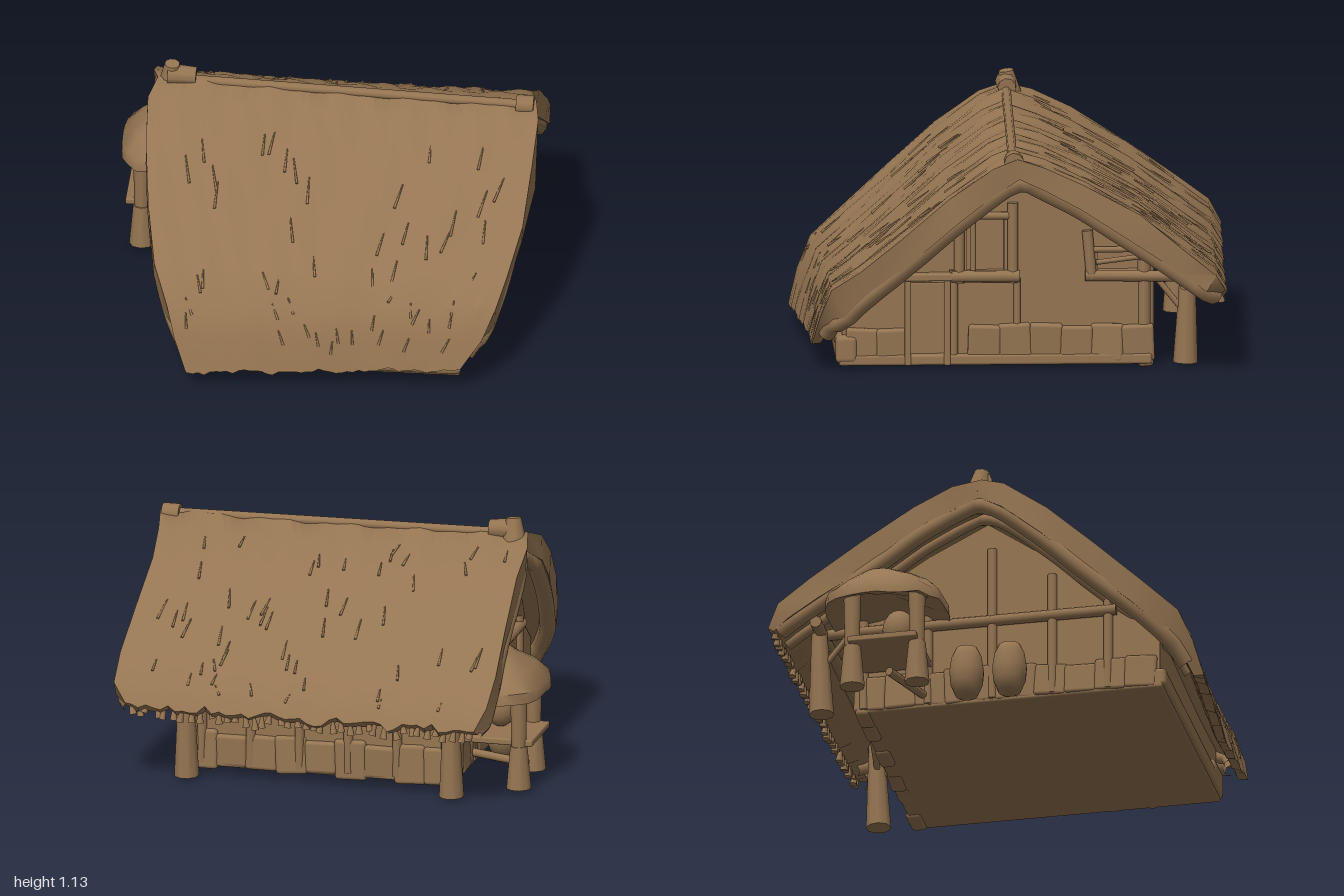
import * as THREE from 'three';
import { toCreasedNormals } from 'three/addons/utils/BufferGeometryUtils.js';
import { RoundedBoxGeometry } from 'three/addons/geometries/RoundedBoxGeometry.js';

const clay = new THREE.MeshStandardMaterial({ color: 0x957552 });
clay.name = 'thatch brown';
const V = (x, y, z) => new THREE.Vector3(x, y, z);

let seed = 11;
const rnd = () => (seed = (seed * 16807) % 2147483647) / 2147483647;
const vary = (a) => (rnd() - 0.5) * 2 * a;
const lerp = THREE.MathUtils.lerp;

// Roof cross-section from front eave to back eave: z, y, left edge x, right edge x
const SECTION = [
  [1.0, 0.08, -0.55, 0.7], [0.96, 0.22, -0.6, 0.79], [0.9, 0.37, -0.66, 0.84], [0.75, 0.5, -0.72, 0.89],
  [0.54, 0.67, -0.77, 0.94], [0.32, 0.86, -0.8, 0.975], [0.12, 1.0, -0.81, 0.975], [0.01, 1.045, -0.77, 0.96],
  [-0.12, 1.0, -0.8, 0.94], [-0.3, 0.91, -0.81, 0.92], [-0.55, 0.765, -0.81, 0.92],
  [-0.78, 0.6, -0.83, 0.94], [-0.93, 0.49, -0.83, 0.94], [-0.985, 0.4, -0.79, 0.88],
];
const UNDER = [
  [0.95, 0.09], [0.9, 0.19], [0.83, 0.28], [0.69, 0.4], [0.49, 0.56], [0.29, 0.74], [0.11, 0.88], [0.0, 0.95],
  [-0.12, 0.89], [-0.28, 0.8], [-0.52, 0.64], [-0.74, 0.5], [-0.88, 0.41], [-0.955, 0.375],
];

// A point on the roof; t runs along x, k is the (fractional) section index
function roofPoint(t, k, under = false) {
  const i = Math.min(Math.floor(k), SECTION.length - 2), f = k - i;
  const [z, y, l, r] = SECTION[i].map((v, j) => lerp(v, SECTION[i + 1][j], f));
  const x = lerp(l, r, t);
  let pz = z, py = y;
  if (under) [pz, py] = UNDER[i].map((v, j) => lerp(v, UNDER[i + 1][j], f));
  const sag = 0.018 * (1 - 2 * t) * Math.max(0, py) - 0.012 * Math.sin(Math.PI * t);
  let pull = 1;
  if (pz > 0.4) pull -= 0.06 * Math.min(1, t * 1.6) * (pz - 0.4) / 0.6;
  if (pz < -0.6) pull -= 0.04 * t * (-pz - 0.6) / 0.4;
  const bump = under ? 0 : 0.006 * Math.sin(x * 19 + z * 7) + 0.004 * Math.sin(x * 41 - z * 13);
  return V(x, py + sag + bump + (pz > 0.85 ? 0.045 * t : 0), pz * pull);
}

// Closed thatch shell lofted through rings across the roof
function roofGeometry() {
  const N = 48, n = SECTION.length, M = 2 * n, pos = [], idx = [];
  for (let i = 0; i <= N; i++) {
    const front = vary(0.007), back = vary(0.018);
    for (let j = 0; j < M; j++) {
      const p = roofPoint(i / N, j < n ? j : M - 1 - j, j >= n);
      if (j === 0 || j === M - 1) p.y += front;
      if (j === n - 1 || j === n) { p.y += back; p.z += back * 0.4; }
      if (i === 0 || i === N) p.x += vary(0.012);
      pos.push(p.x, p.y, p.z);
    }
  }
  for (let i = 0; i < N; i++) for (let j = 0; j < M; j++) {
    const a = i * M + j, b = i * M + (j + 1) % M, c = a + M, d = b + M;
    idx.push(a, c, b, b, c, d);
  }
  for (let j = 0; j < n - 1; j++) {
    const a = j, b = j + 1, c = M - 1 - j, d = M - 2 - j, e = N * M;
    idx.push(a, b, c, b, d, c, e + a, e + c, e + b, e + b, e + c, e + d);
  }
  const g = new THREE.BufferGeometry();
  g.setAttribute('position', new THREE.Float32BufferAttribute(pos, 3));
  g.setIndex(idx);
  return toCreasedNormals(g, 0.7);
}

// Lean-to thatch: a lathe whose round plan is pushed out towards a rounded square
function leanToGeometry() {
  const g = new THREE.LatheGeometry([[0, 0.55], [0.22, 0.455], [0.265, 0.44], [0.262, 0.49], [0.2, 0.56],
    [0.1, 0.63], [0, 0.68]].map((p) => new THREE.Vector2(...p)), 28);
  const p = g.attributes.position;
  for (let i = 0; i < p.count; i++) {
    const x = p.getX(i), z = p.getZ(i), r = Math.hypot(x, z);
    const k = r > 0 ? r / (Math.abs(x) ** 3 + Math.abs(z) ** 3) ** (1 / 3) : 1;
    p.setXYZ(i, x * k * 0.98, p.getY(i) + 0.008 * Math.sin(x * 40 + z * 23), z * k * 1.04);
  }
  return toCreasedNormals(g, 0.8);
}

export function createModel() {
  const model = new THREE.Group();
  model.name = 'thatchedHut';
  const add = (name, geo, x = 0, y = 0, z = 0) => {
    const m = new THREE.Mesh(geo, clay);
    m.name = name;
    m.position.set(x, y, z);
    model.add(m);
    return m;
  };
  const box = (name, w, h, d, x, y, z) =>
    add(name, new RoundedBoxGeometry(w, h, d, 2, Math.min(w, h, d) * 0.25), x, y, z);
  // Tapered log between two points
  const log = (name, a, b, r0, r1 = r0) => {
    const d = b.clone().sub(a);
    const m = add(name, new THREE.CylinderGeometry(r1, r0, d.length(), 9, 1));
    m.position.copy(a).add(b).multiplyScalar(0.5);
    m.quaternion.setFromUnitVectors(V(0, 1, 0), d.normalize());
    return m;
  };
  const tube = (name, pts, r) => add(name, new THREE.TubeGeometry(new THREE.CatmullRomCurve3(pts), 40, r, 8));

  // Roof with rolled gable rims and rafters below
  add('thatchRoof', roofGeometry());
  for (const [t, r] of [[0.02, 0.04], [0.97, 0.045], [0.9, 0.028], [0.1, 0.028]]) {
    const pts = [];
    for (let k = 0.6; k < 12.6; k += 0.6) pts.push(roofPoint(t, k, true).add(V(0, -0.01, 0)));
    tube(r > 0.03 ? 'gableRim' : 'rafter', pts, r);
  }

  // Ridge pole and the tied bundles at its ends
  log('ridgePole', V(-0.74, 1.05, 0), V(0.95, 1.012, 0.03), 0.022);
  log('ridgeBundle', V(-0.73, 1.07, 0), V(-0.6, 1.065, 0.0), 0.05, 0.042);
  log('ridgeBundle', V(-0.72, 1.0, -0.02), V(-0.71, 1.125, 0.0), 0.06, 0.035);
  log('ridgeBundle', V(0.87, 1.01, 0.025), V(0.95, 1.01, 0.025), 0.045);

  // Loose straw lying on the slopes
  for (let i = 0; i < 100; i++) {
    const k = i % 2 ? 1 + rnd() * 4.5 : 8 + rnd() * 4, t = 0.04 + rnd() * 0.92;
    const a = roofPoint(t, k), b = roofPoint(t + vary(0.015), k + (i % 2 ? -0.45 : 0.4));
    log('strawTuft', a, b.add(V(0, 0.003, 0)), 0.003, 0.006);
  }
  // Short ragged wisps along the back eave
  for (let i = 0; i < 40; i++) {
    const a = roofPoint(0.02 + i * 0.0245, 12.7).add(V(0, -0.01, 0.02));
    log('eaveWisp', a, a.clone().add(V(vary(0.02), -0.055 - rnd() * 0.03, -0.012)), 0.003, 0.018);
  }

  // House body, with a thinner gable wall holding the windows
  const outline = () => new THREE.Shape([[0.8, 0.03], [0.8, 0.3], [0.5, 0.545], [0.29, 0.72], [0, 0.92],
    [-0.28, 0.78], [-0.6, 0.58], [-0.6, 0.03]].map(([z, y]) => new THREE.Vector2(z, y)));
  const gable = (name, shape, x0, x1) => {
    const g = new THREE.ExtrudeGeometry(shape, { depth: x1 - x0, bevelEnabled: false });
    g.rotateY(-Math.PI / 2).translate(x1, 0, 0);
    add(name, g);
  };
  gable('houseBody', outline(), -0.58, 0.6);
  const wall = outline();
  for (const [z0, z1, y0, y1] of [[0.06, 0.23, 0.45, 0.7], [-0.58, -0.37, 0.45, 0.54], [0.33, 0.49, 0.04, 0.4]])
    wall.holes.push(new THREE.Path([[z0, y0], [z0, y1], [z1, y1], [z1, y0]].map((p) => new THREE.Vector2(...p))));
  gable('gableWall', wall, 0.6, 0.65);

  // Floor slab and plinth of rough stones
  box('floorSlab', 1.28, 0.05, 1.43, 0.045, 0.045, 0.1);
  box('frontSill', 1.28, 0.09, 0.1, 0.045, 0.075, 0.78);
  const stone = (x, y, z, w, h, d) => {
    const m = box('plinthStone', w, h, d, x, y, z);
    m.rotation.set(vary(0.06), vary(0.06), vary(0.06));
  };
  for (let i = 0; i < 9; i++) stone(-0.52 + i * 0.14, 0.1, -0.585, 0.15, 0.14 + rnd() * 0.06, 0.07);
  for (let i = 0; i < 10; i++) {
    const z = -0.55 + i * 0.14, h = 0.13 + rnd() * 0.06;
    if (i < 6 || i > 7) stone(0.65, 0.03 + h / 2, z, 0.06, h, 0.15);
    stone(-0.57, 0.03 + h / 2, z, 0.06, h, 0.15);
  }
  box('frontCornerStone', 0.2, 0.13, 0.1, 0.59, 0.095, 0.78);

  // Door, window frames and timbers on the entrance gable
  box('door', 0.03, 0.37, 0.16, 0.63, 0.215, 0.41);
  for (const z of [0.32, 0.5]) box('doorPost', 0.06, 0.4, 0.03, 0.66, 0.22, z);
  box('doorLintel', 0.07, 0.035, 0.3, 0.66, 0.43, 0.42);
  for (const z of [0.265, 0.02]) log('windowPost', V(0.66, 0.4, z), V(0.66, 0.77, z), 0.025);
  log('windowSill', V(0.67, 0.43, -0.01), V(0.67, 0.43, 0.3), 0.028);
  log('windowHead', V(0.66, 0.71, 0.02), V(0.66, 0.71, 0.26), 0.018);
  log('windowBar', V(0.64, 0.44, 0.2), V(0.64, 0.7, 0.2), 0.012);
  log('doorSidePost', V(0.66, 0.03, 0.29), V(0.66, 0.46, 0.29), 0.02);
  log('wallTimber', V(0.655, 0.2, 0.0), V(0.655, 0.42, 0.0), 0.016);
  log('smallWindowSill', V(0.66, 0.43, -0.31), V(0.65, 0.42, -0.82), 0.026);
  log('smallWindowPost', V(0.66, 0.42, -0.34), V(0.66, 0.64, -0.32), 0.025);
  log('smallWindowHead', V(0.66, 0.55, -0.34), V(0.66, 0.55, -0.6), 0.014);
  log('smallWindowBar', V(0.66, 0.49, -0.36), V(0.66, 0.52, -0.6), 0.012);
  log('cornerPost', V(0.64, 0.03, -0.58), V(0.64, 0.5, -0.58), 0.03);

  // Timbers on the back wall and the far gable
  for (let i = 0; i < 6; i++) {
    const x = -0.55 + i * 0.23;
    log('backTimber', V(x, 0.04, -0.605), V(x, 0.55, -0.605), 0.022);
  }
  for (const z of [-0.58, -0.28, 0.02, 0.3, 0.56])
    log('farGableTimber', V(-0.585, 0.04, z), V(-0.585, 0.8 - Math.abs(z) * 0.55, z), 0.022);
  log('farGableBeam', V(-0.59, 0.43, -0.8), V(-0.59, 0.43, 0.6), 0.026);
  log('backBeam', V(-0.75, 0.43, -0.77), V(0.85, 0.42, -0.76), 0.028);

  // Posts carrying the back eave, with braces
  for (const x of [0.63, -0.62]) {
    log('eavePost', V(x, 0.02, -0.77), V(x, 0.44, -0.78), 0.058, 0.036);
    log('postBrace', V(x, 0.27, -0.75), V(x, 0.42, -0.63), 0.014);
    log('postBrace', V(x, 0.27, -0.77), V(x - Math.sign(x) * 0.14, 0.42, -0.77), 0.014);
  }

  // Small lean-to: thatch on posts, with a shelf
  add('leanToThatch', leanToGeometry(), -0.72, 0, -0.44);
  for (const [x, z] of [[-0.885, -0.57], [-0.875, -0.27]]) {
    log('leanToPost', V(x, 0.02, z), V(x, 0.22, z), 0.058, 0.04);
    log('leanToPost', V(x, 0.2, z), V(x, 0.48, z), 0.034, 0.04);
  }
  box('shelf', 0.36, 0.03, 0.32, -0.77, 0.235, -0.42);
  log('lowRail', V(-0.88, 0.085, -0.4), V(-0.6, 0.085, -0.3), 0.02);
  const sack = add('sack', new THREE.SphereGeometry(0.085, 16, 12), -0.75, 0.345, -0.38);
  sack.scale.set(0.9, 1.15, 0.9);

  // Barrels beside the far gable
  const barrel = new THREE.LatheGeometry([[0, 0.02], [0.05, 0.02], [0.075, 0.08], [0.08, 0.14], [0.07, 0.21],
    [0.05, 0.255], [0, 0.26]].map((p) => new THREE.Vector2(...p)), 18);
  for (const z of [-0.08, 0.12]) add('barrel', barrel, -0.68, 0, z);
  return model;
}
